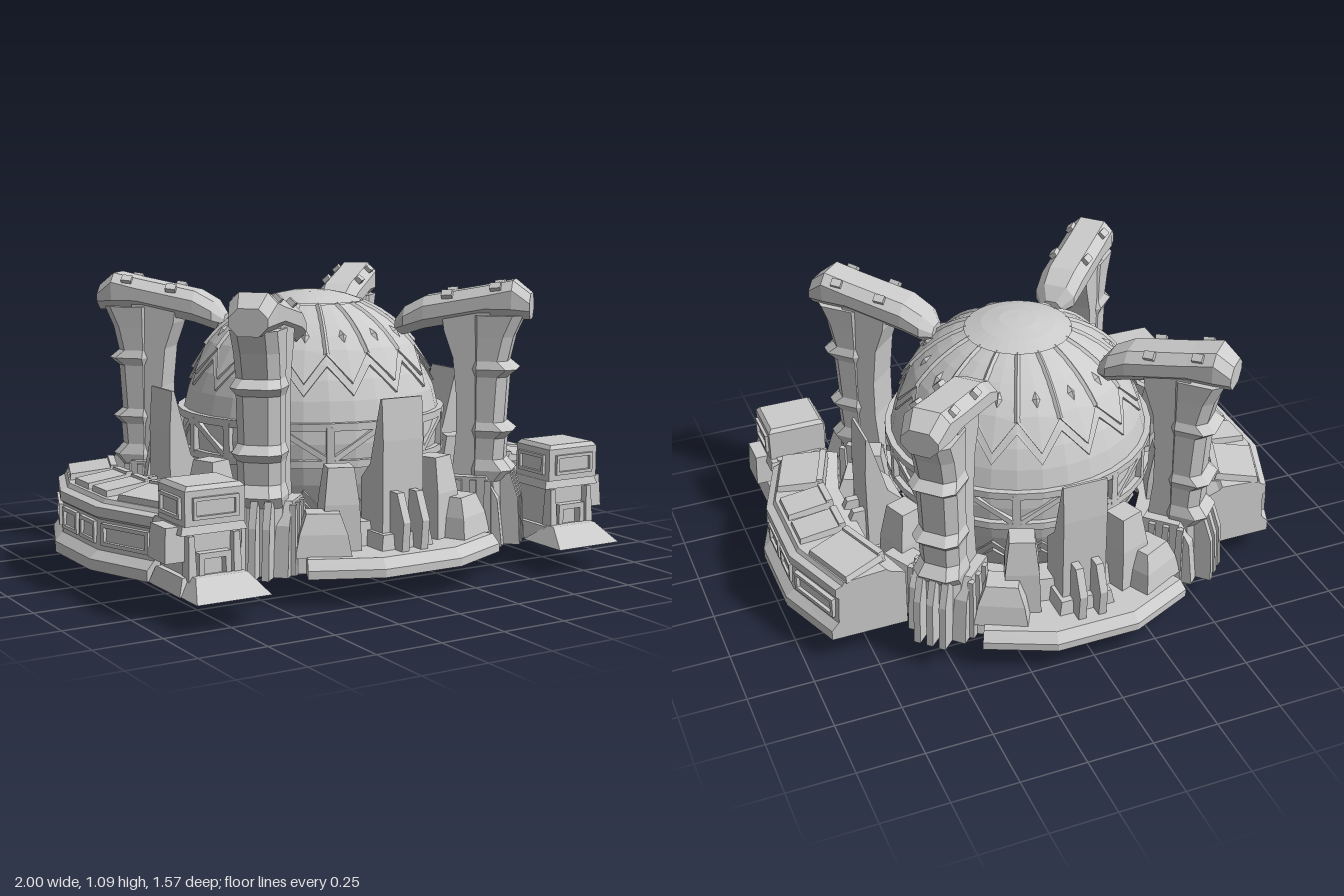
import * as THREE from 'three';

const material = new THREE.MeshStandardMaterial({ color: 0xcccccc, flatShading: true });
const V = (x, y, z) => new THREE.Vector3(x, y, z);

function add(parent, name, geometry, pos = [0, 0, 0], rot = [0, 0, 0]) {
  const mesh = new THREE.Mesh(geometry, material);
  mesh.name = name;
  mesh.position.set(...pos);
  mesh.rotation.set(...rot);
  parent.add(mesh);
}

function group(parent, name, turn = 0) {
  const g = new THREE.Group();
  g.name = name;
  g.rotation.y = turn;
  parent.add(g);
  return g;
}

// Skin a run of closed cross-sections; either capped or joined end to start
function loft(rings, loop = false) {
  const tris = [], n = rings[0].length, m = rings.length;
  for (let i = 0; i < (loop ? m : m - 1); i++) {
    const a = rings[i], b = rings[(i + 1) % m];
    for (let j = 0; j < n; j++) {
      const k = (j + 1) % n;
      tris.push([a[j], b[j], b[k]], [a[j], b[k], a[k]]);
    }
  }
  if (!loop) {
    for (const [ring, last] of [[rings[0], false], [rings[m - 1], true]]) {
      const c = ring.reduce((s, p) => s.add(p), V(0, 0, 0)).divideScalar(n);
      ring.forEach((p, j) => {
        const q = ring[(j + 1) % n];
        tris.push(last ? [c, q, p] : [c, p, q]);
      });
    }
  }
  // Turn every face outwards
  const volume = tris.reduce((s, [a, b, c]) => s + a.dot(b.clone().cross(c)), 0);
  if (volume < 0) tris.forEach(t => t.reverse());
  const geometry = new THREE.BufferGeometry().setFromPoints(tris.flat());
  geometry.computeVertexNormals();
  return geometry;
}

// Chamfered rectangle a0..a1 by -w..w
const octagon = (a0, a1, w, c) => [
  [a0, -w + c], [a0 + c, -w], [a1 - c, -w], [a1, -w + c],
  [a1, w - c], [a1 - c, w], [a0 + c, w], [a0, w - c]];

// Radial outline (r, y) given a width across
function slab(points, width) {
  const shape = new THREE.Shape(points.map(p => new THREE.Vector2(...p)));
  return new THREE.ExtrudeGeometry(shape, { depth: width, bevelEnabled: false }).translate(0, 0, -width / 2);
}

// Box standing on y = 0 with its top scaled
function taper(w, h, d, sx = 1, sz = sx) {
  const g = new THREE.BoxGeometry(w, h, d).translate(0, h / 2, 0);
  const p = g.attributes.position;
  for (let i = 0; i < p.count; i++) if (p.getY(i) > h / 2) p.setXYZ(i, p.getX(i) * sx, h, p.getZ(i) * sz);
  g.computeVertexNormals();
  return g;
}

// Raised frame around a recess, facing +x
function frame(w, h, bar = 0.014, depth = 0.02) {
  const rect = (T, a, b) => new T([[-a, -b], [a, -b], [a, b], [-a, b]].map(p => new THREE.Vector2(...p)));
  const s = rect(THREE.Shape, w / 2, h / 2);
  s.holes.push(rect(THREE.Path, w / 2 - bar, h / 2 - bar));
  return new THREE.ExtrudeGeometry(s, { depth, bevelEnabled: false }).rotateY(Math.PI / 2);
}

// Section (u, y) swept between an inner and an outer plan line
const band = (inner, outer, section) => loft(inner.map(([xi, zi], i) => {
  const [xo, zo] = outer[i];
  return section.map(([u, y]) => V(xi + (xo - xi) * u, y, zi + (zo - zi) * u));
}));

const STEP = Math.PI / 8;

// Section (r, y) swept round the centre
const hoop = (section, sides) => loft(Array.from({ length: sides }, (_, i) => {
  const a = i / sides * Math.PI * 2;
  return section.map(([r, y]) => V(r * Math.cos(a), y, r * Math.sin(a)));
}), true);

// Thick spherical shell between two polar angles in degrees, the lower edge zigzagging
function shell(r, thick, top, high, low) {
  const rows = [0, 1, 2, 3, 4].map(j => top + (high - 2 - top) * j / 4);
  const rings = [];
  for (let i = 0; i < 32; i++) {
    const angles = [...rows, i % 2 ? low : high];
    const at = rad => angles.map(f =>
      V(0, 0, 0).setFromSphericalCoords(rad, THREE.MathUtils.degToRad(f), i * STEP / 2 + Math.PI / 2));
    rings.push([...at(r), ...at(r - thick).reverse()]);
  }
  return loft(rings, true);
}

function buildDome(root) {
  const dome = group(root, 'dome');
  dome.position.y = 0.52;
  add(dome, 'core', new THREE.SphereGeometry(0.495, 32, 20));
  for (const half of [0, 1]) {
    const h = group(dome, half ? 'lowerShell' : 'upperShell');
    h.rotation.x = half * Math.PI;
    add(h, 'cap', new THREE.SphereGeometry(0.52, 32, 3, 0, Math.PI * 2, 0, 0.4));
    add(h, 'zigzagPlate', shell(0.512, 0.025, 22, 52, 65));
    add(h, 'zigzagTrim', shell(0.504, 0.02, 46, 57, 70));
    for (let i = 0; i < 16; i++) {
      const spoke = group(h, 'spoke', i * STEP);
      add(spoke, 'rib', new THREE.TorusGeometry(0.508, 0.013, 4, 6, 0.53).rotateZ(0.66));
      const s = group(h, 'stud', (i + 0.5) * STEP), e = 0.82;
      add(s, 'diamond', new THREE.OctahedronGeometry(1).scale(0.014, 0.034, 0.017),
        [0.509 * Math.cos(e), 0.509 * Math.sin(e), 0], [0, 0, e]);
    }
  }
  // Window band with triangular bracing
  for (const y of [-0.07, 0.065])
    add(dome, 'bandRing', hoop([[0.47, y - 0.014], [0.512, y - 0.014], [0.512, y + 0.014], [0.47, y + 0.014]], 32));
  for (let i = 0; i < 16; i++) {
    const bay = group(dome, 'windowBay', i * STEP);
    add(bay, 'post', new THREE.BoxGeometry(0.03, 0.13, 0.03), [0.497, 0, 0]);
    const mid = group(bay, 'brace', STEP / 2);
    add(mid, 'diagonal', new THREE.BoxGeometry(0.025, 0.02, 0.2), [0.492, 0, 0], [i % 2 ? 0.56 : -0.56, 0, 0]);
  }
}

function buildPylon(root, turn) {
  const p = group(root, 'pylon', turn);
  // Curved inner spine
  add(p, 'spine', slab([[0.55, 0.1], [0.7, 0.1], [0.7, 0.97], [0.52, 0.97], [0.53, 0.9], [0.565, 0.8],
    [0.58, 0.65], [0.58, 0.5], [0.565, 0.35]], 0.15));
  // Segmented outer column with bulging joints
  const joints = [[0.1, 0.77, 0.085], [0.34, 0.76, 0.085], [0.38, 0.79, 0.09], [0.42, 0.755, 0.078], [0.5, 0.76, 0.08],
    [0.53, 0.79, 0.09], [0.56, 0.755, 0.078], [0.73, 0.765, 0.08], [0.76, 0.8, 0.092], [0.79, 0.765, 0.08],
    [0.88, 0.785, 0.082], [0.96, 0.82, 0.085]];
  add(p, 'column', loft(joints.map(([y, r, w]) => octagon(0.62, r, w, 0.035).map(([a, t]) => V(a, y, t)))));
  // Overhead arm resting on the dome
  const arm = [[0.335, 0.88, 0.935, 0.04], [0.375, 0.88, 0.985, 0.08], [0.45, 0.905, 1.025, 0.086], [0.68, 0.95, 1.068, 0.086],
    [0.78, 0.95, 1.09, 0.086], [0.845, 0.945, 1.04, 0.07]];
  add(p, 'arm', loft(arm.map(([r, a, b, w]) =>
    octagon(a, b, w, Math.min(0.035, (b - a) * 0.35)).map(([y, t]) => V(r, y, t)))));
  for (const s of [-1, 1]) {
    for (const [r, y] of [[0.54, 1.032], [0.72, 1.062]])
      add(p, 'armLamp', new THREE.BoxGeometry(0.04, 0.03, 0.03), [r, y, s * 0.066], [s * 0.7, 0, 0.13]);
    add(p, 'foot', slab([[0.53, 0.1], [0.765, 0.1], [0.745, 0.28], [0.7, 0.36], [0.56, 0.36]], 0.06), [0, 0, s * 0.085]);
    for (const r of [0.6, 0.655, 0.71])
      add(p, 'sideFin', taper(0.03, 0.25, 0.026, 0.8), [r, 0.1, s * 0.12]);
  }
  for (const t of [-0.05, 0, 0.05])
    add(p, 'outerFin', slab([[0.72, 0.1], [0.825, 0.1], [0.815, 0.28], [0.785, 0.37], [0.72, 0.37]], 0.026), [0, 0, t]);
}

function buildBay(root, turn) {
  const b = group(root, 'bay', turn);
  add(b, 'walkway', band([[0.46, -0.3], [0.53, -0.11], [0.53, 0.11], [0.46, 0.3]],
    [[0.675, -0.41], [0.787, -0.16], [0.787, 0.16], [0.675, 0.41]],
    [[0.05, 0.1], [1, 0.1], [1, 0.13], [0.88, 0.165], [0.05, 0.165]]));
  add(b, 'shield', slab([[0.5, 0.16], [0.645, 0.16], [0.645, 0.55], [0.635, 0.7], [0.625, 0.7], [0.56, 0.46], [0.5, 0.4]], 0.17));
  add(b, 'shieldFoot', taper(0.16, 0.06, 0.22, 0.9), [0.6, 0.16, 0]);
  for (const s of [-1, 1]) {
    add(b, 'prong', slab([[0.62, 0.165], [0.725, 0.165], [0.735, 0.27], [0.69, 0.37], [0.62, 0.37]], 0.03), [0, 0, s * 0.04]);
    // Chamfered consoles beside the shield: a tall one and a wide low one
    const tall = group(b, 'tallConsole', -s * 0.36);
    add(tall, 'consoleBody', taper(0.15, 0.17, 0.14, 0.9), [0.575, 0.16, 0]);
    add(tall, 'consoleTop', taper(0.135, 0.13, 0.126, 0.65, 0.75), [0.575, 0.33, 0]);
    const low = group(b, 'lowConsole', -s * 0.47);
    add(low, 'consoleBody', taper(0.17, 0.08, 0.2, 0.85), [0.64, 0.16, 0]);
    add(low, 'consoleTop', taper(0.145, 0.07, 0.17, 0.65, 0.7), [0.64, 0.24, 0]);
  }
}

function buildSideBlock(root, turn) {
  const b = group(root, 'sideBlock', turn);
  add(b, 'hall', band([[0.61, -0.42], [0.68, -0.18], [0.68, 0.18], [0.61, 0.42]],
    [[0.9, -0.42], [1, -0.16], [1, 0.16], [0.9, 0.42]],
    [[0, 0.1], [1, 0.1], [1, 0.14], [0.9, 0.17], [0.88, 0.28], [0.92, 0.29], [0.92, 0.325], [0.83, 0.335], [0.8, 0.35],
      [0.25, 0.362], [0.2, 0.35], [0, 0.33]]));
  // Wall frames and roof plates, one for each bay: x, z, width, turn
  for (const [x, z, w, t] of [[0.96, -0.08, 0.13, 0], [0.96, 0.08, 0.13, 0], [0.915, -0.29, 0.23, 0.357], [0.915, 0.29, 0.23, -0.357]]) {
    add(b, 'wallFrame', frame(w, 0.08), [x - 0.004, 0.23, z], [0, t, 0]);
    const g = group(b, 'roof', t);
    g.position.set(x - 0.12, 0.365, z);
    add(g, 'roofPlate', taper(0.17, 0.025, w, 0.94), [0, -0.008, 0], [0, 0, -0.12]);
    add(g, 'roofRidge', taper(0.035, 0.045, w * 0.95, 0.7, 0.97), [-0.08, -0.01, 0]);
  }
}

function buildTurret(root, side) {
  const t = group(root, 'gatehouse');
  t.position.set(side * 0.76, 0.1, 0.56);
  add(t, 'plinth', taper(0.27, 0.06, 0.24, 0.85), [0, 0, -0.02]);
  add(t, 'body', taper(0.19, 0.24, 0.2, 0.95), [0, 0, -0.03]);
  add(t, 'collar', taper(0.25, 0.03, 0.23, 0.92), [0, 0.205, -0.02]);
  add(t, 'upperBlock', taper(0.225, 0.12, 0.2), [0, 0.235, 0]);
  add(t, 'roof', taper(0.225, 0.015, 0.2, 0.88), [0, 0.355, 0]);
  add(t, 'sidePod', taper(0.12, 0.12, 0.13, 0.9), [side * 0.11, 0.11, 0]);
  add(t, 'ramp', taper(0.28, 0.065, 0.22, 0.7, 0.15), [-side * 0.01, 0, 0.11]);
  for (const s of [-1, 1]) {
    add(t, 'buttress', taper(0.035, 0.2, 0.06, 0.6), [s * 0.085, 0, 0.075]);
    add(t, 'sideWindow', frame(0.15, 0.075, 0.012, 0.012), [s * 0.112, 0.295, 0], [0, s > 0 ? 0 : Math.PI, 0]);
  }
  add(t, 'frontWindow', frame(0.17, 0.075, 0.012, 0.012), [0, 0.295, 0.1], [0, -Math.PI / 2, 0]);
  add(t, 'doorway', frame(0.12, 0.12, 0.02, 0.04), [0, 0.08, 0.06], [0, -Math.PI / 2, 0]);
}

export function createModel() {
  const root = new THREE.Group();
  root.name = 'domedFortress';
  buildDome(root);
  // Stepped ring around the dome well
  add(root, 'baseRing', hoop([[0.53, 0.1], [0.72, 0.1], [0.71, 0.155], [0.6, 0.165], [0.58, 0.25], [0.48, 0.25],
    [0.48, 0.23], [0.53, 0.23]], 16));
  for (let i = 0; i < 4; i++) {
    buildBay(root, i * Math.PI / 2);
    buildPylon(root, (i + 0.5) * Math.PI / 2);
  }
  for (const side of [-1, 1]) {
    buildSideBlock(root, side > 0 ? 0 : Math.PI);
    buildTurret(root, side);
  }
  return root;
}
